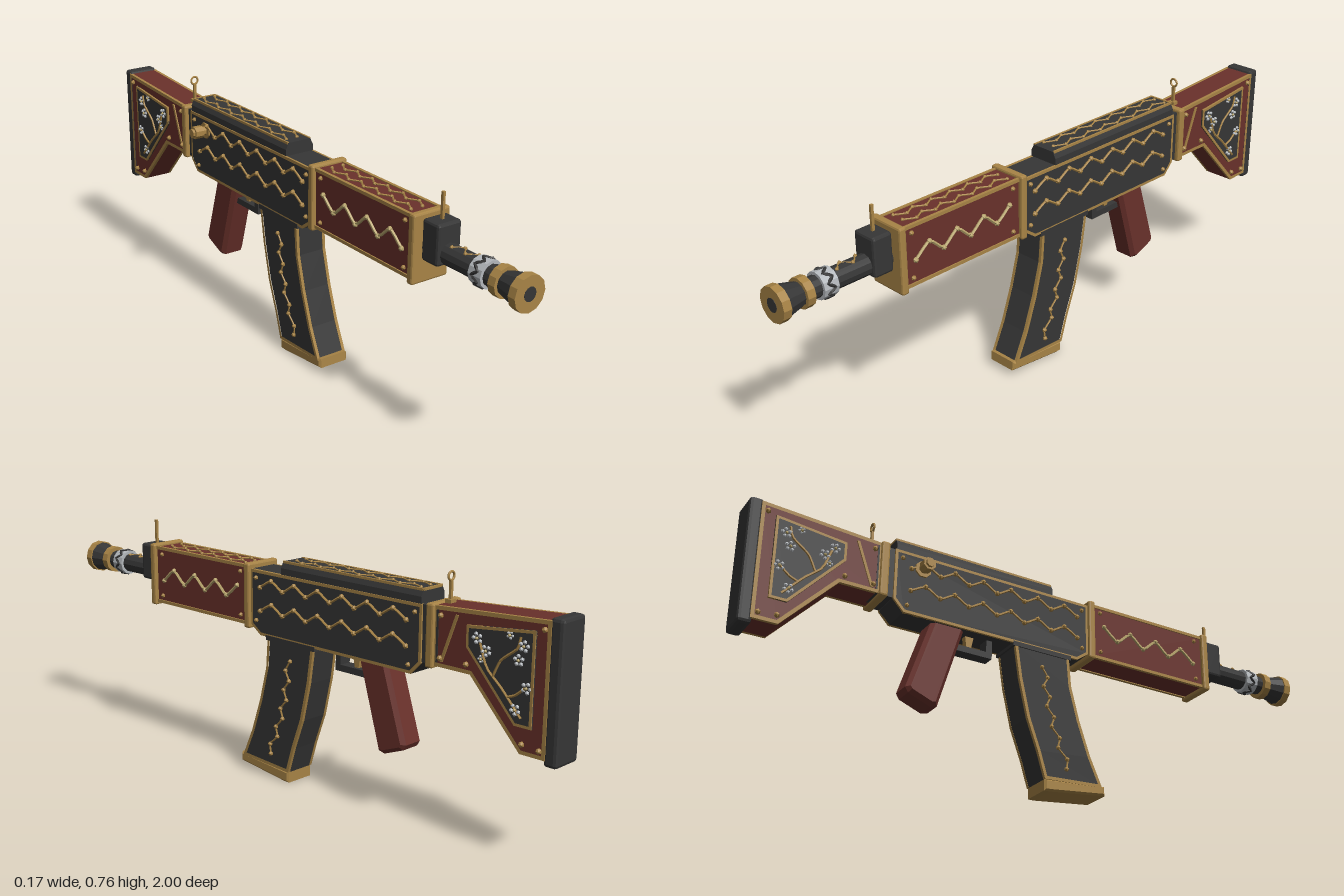
import * as THREE from 'three';
import { RoundedBoxGeometry } from 'three/addons/geometries/RoundedBoxGeometry.js';

const material = (name, color) => {
  const m = new THREE.MeshStandardMaterial({ color });
  m.name = name;
  return m;
};

export function createModel() {
  const model = new THREE.Group();
  model.name = 'ornateRifle';
  model.position.x = 0.016;
  const root = new THREE.Group();
  root.add(model);

  const brass = material('brass', 0xa88446);
  const steel = material('darkSteel', 0x363636);
  const wood = material('redWood', 0x6a312b);
  const silver = material('silver', 0xb4b8bc);
  const paleGold = material('paleGold', 0xb8a56c);

  // Faceted mesh with a name
  const add = (name, geo, mat, parent = model) => {
    const g = geo.index ? geo.toNonIndexed() : geo;
    g.computeVertexNormals();
    const m = new THREE.Mesh(g, mat);
    m.name = name;
    parent.add(m);
    return m;
  };
  const box = (name, mat, hw, y0, y1, z0, z1, x = 0) =>
    add(name, new THREE.BoxGeometry(hw * 2, y1 - y0, Math.abs(z1 - z0)), mat)
      .position.set(x, (y0 + y1) / 2, (z0 + z1) / 2);
  const softBox = (name, mat, hw, y0, y1, z0, z1, r) =>
    add(name, new RoundedBoxGeometry(hw * 2, y1 - y0, Math.abs(z1 - z0), 1, r), mat)
      .position.set(0, (y0 + y1) / 2, (z0 + z1) / 2);
  const rod = (name, mat, z0, z1, r0, r1 = r0, y = 0.582) =>
    add(name, new THREE.CylinderGeometry(r1, r0, Math.abs(z1 - z0), 12).rotateX(Math.PI / 2), mat)
      .position.set(0, y, (z0 + z1) / 2);

  // Side profile given as [z, y], extruded across x between -hw and hw
  const V = p => new THREE.Vector2(p[0], p[1]);
  const slab = (name, mat, pts, hw, bevel = 0, hole = null, x = 0) => {
    const shape = new THREE.Shape(pts.map(V));
    if (hole) shape.holes.push(new THREE.Path(hole.map(V)));
    const depth = 2 * (hw - bevel);
    const geo = new THREE.ExtrudeGeometry(shape, {
      depth, bevelEnabled: bevel > 0, bevelSize: bevel, bevelThickness: bevel, bevelOffset: -bevel, bevelSegments: 1,
    });
    geo.translate(0, 0, -depth / 2).rotateY(-Math.PI / 2);
    const m = add(name, geo, mat);
    m.position.x = x;
    return m;
  };
  // Mitred inset of a profile
  const inset = (pts, d) => {
    const area = pts.reduce((a, p, i) => {
      const q = pts[(i + 1) % pts.length];
      return a + p[0] * q[1] - q[0] * p[1];
    }, 0);
    const n = pts.length, s = Math.sign(area);
    return pts.map((p, i) => {
      const a = V(p).sub(V(pts[(i + n - 1) % n])).normalize();
      const b = V(pts[(i + 1) % n]).sub(V(p)).normalize();
      const na = [-a.y * s, a.x * s], nb = [-b.y * s, b.x * s];
      const k = d / (1 + na[0] * nb[0] + na[1] * nb[1]);
      return [p[0] + (na[0] + nb[0]) * k, p[1] + (na[1] + nb[1]) * k];
    });
  };
  const sideFrames = (name, pts, x, w) => {
    for (const s of [-1, 1]) slab(name, brass, pts, 0.005, 0, inset(pts, w), s * x);
  };
  const tube = (name, mat, pts, r, closed = false) => {
    const curve = new THREE.CatmullRomCurve3(pts.map(p => new THREE.Vector3(...p)), closed, 'catmullrom', 0.3);
    return add(name, new THREE.TubeGeometry(curve, pts.length * 3, r, 5, closed), mat);
  };
  const bead = (name, mat, x, y, z, r) =>
    add(name, new THREE.IcosahedronGeometry(r, 0), mat).position.set(x, y, z);
  // Vine with a bud beside every bend; points are [x, y, z]
  const vine = (name, mat, pts, r, bud) => {
    tube(name, mat, pts, r);
    pts.forEach(p => bead(name + 'Bud', mat, p[0], p[1], p[2], bud));
  };
  const zigzag = (n, f) => Array.from({ length: n }, (_, i) => f(i / (n - 1), i % 2 ? 1 : -1));

  // Muzzle and barrel
  rod('muzzleLip', brass, 0.975, 1, 0.053);
  rod('muzzleBore', steel, 0.995, 1.001, 0.021);
  rod('muzzleCone', steel, 0.915, 0.975, 0.034, 0.049);
  rod('muzzleRing', brass, 0.893, 0.918, 0.045);
  rod('barrel', steel, 0.62, 0.92, 0.032);
  rod('barrelBand', silver, 0.815, 0.862, 0.041);
  tube('bandZigzag', steel, Array.from({ length: 16 }, (_, i) => {
    const a = i / 16 * Math.PI * 2;
    return [0.04 * Math.cos(a), 0.582 + 0.04 * Math.sin(a), 0.838 + (i % 2 ? 0.01 : -0.01)];
  }), 0.005, true);
  vine('barrelVine', brass, zigzag(4, (t, s) => [s * 0.012, 0.612, 0.72 + t * 0.08]), 0.003, 0.006);

  // Front sight
  softBox('frontSightBlock', steel, 0.041, 0.55, 0.672, 0.632, 0.698, 0.008);
  box('frontSightPost', brass, 0.004, 0.67, 0.75, 0.66, 0.669);

  // Handguard with end flanges and corner rails
  box('handguard', wood, 0.05, 0.487, 0.672, 0.15, 0.61);
  for (const z of [0.613, 0.153]) softBox('handguardFlange', brass, 0.064, 0.475, 0.682, z - 0.012, z + 0.012, 0.006);
  for (const s of [-1, 1]) {
    for (const y of [0.489, 0.67]) {
      box('handguardRail', brass, 0.005, y - 0.005, y + 0.005, 0.16, 0.605, s * 0.049);
      for (const z of [0.575, 0.19]) bead('handguardRivet', brass, s * 0.052, y < 0.55 ? 0.51 : 0.65, z, 0.008);
    }
    vine('handguardVine', paleGold, zigzag(8, (t, k) => [s * 0.053, 0.583 + k * 0.02, 0.565 - t * 0.36]), 0.005, 0.009);
    vine('handguardTopVine', brass, zigzag(12, (t, k) => [s * 0.02 + k * 0.009, 0.674, 0.57 - t * 0.38]), 0.003, 0.006);
  }

  // Receiver
  const receiver = [[0.142, 0.665], [0.142, 0.49], [0.1, 0.46], [-0.51, 0.46], [-0.545, 0.497], [-0.545, 0.665]];
  slab('receiver', steel, receiver, 0.05, 0.004);
  sideFrames('receiverTrim', receiver, 0.048, 0.009);
  for (const s of [-1, 1]) {
    for (const y of [0.625, 0.55]) {
      vine('receiverVine', brass, zigzag(13, (t, k) => [s * 0.053, y + k * 0.013, 0.1 - t * 0.59]), 0.004, 0.009);
    }
    for (const [z, y] of [[0.118, 0.64], [0.118, 0.505], [-0.52, 0.64], [-0.5, 0.485]]) {
      bead('receiverRivet', brass, s * 0.053, y, z, 0.008);
    }
  }

  // Top cover with chamfered section
  const cover = new THREE.Shape([[-0.05, 0.66], [0.05, 0.66], [0.05, 0.685], [0.04, 0.705], [-0.04, 0.705], [-0.05, 0.685]].map(V));
  add('topCover', new THREE.ExtrudeGeometry(cover, { depth: 0.55, bevelEnabled: false }), steel).position.z = -0.54;
  for (const s of [-1, 1]) {
    box('topCoverTrim', brass, 0.003, 0.7, 0.707, 0.008, -0.54, s * 0.04);
    vine('topCoverVine', brass, zigzag(14, (t, k) => [s * 0.02 + k * 0.008, 0.706, -0.02 - t * 0.5]), 0.003, 0.006);
  }
  box('topCoverRearTrim', brass, 0.04, 0.7, 0.707, -0.534, -0.541);

  // Charging handle on the right
  const handle = (r, x0, x1, name) => add(name, new THREE.CylinderGeometry(r, r, x1 - x0, 8)
    .rotateY(Math.PI / 8).rotateZ(Math.PI / 2), brass).position.set((x0 + x1) / 2, 0.62, -0.452);
  handle(0.015, -0.075, -0.045, 'chargingHandleShaft');
  handle(0.021, -0.098, -0.068, 'chargingHandleKnob');
  handle(0.014, -0.106, -0.098, 'chargingHandleCap');
  handle(0.027, -0.056, -0.048, 'chargingHandleCollar');

  // Trigger and guard
  box('triggerGuardFront', steel, 0.02, 0.4, 0.465, -0.192, -0.212);
  box('triggerGuardBottom', steel, 0.02, 0.4, 0.42, -0.192, -0.32);
  slab('trigger', brass, [[-0.245, 0.49], [-0.285, 0.49], [-0.275, 0.42], [-0.26, 0.42]], 0.01);

  // Pistol grip
  slab('pistolGrip', wood, [[-0.296, 0.47], [-0.315, 0.488], [-0.385, 0.49], [-0.405, 0.475], [-0.482, 0.235],
    [-0.472, 0.218], [-0.4, 0.19], [-0.378, 0.195]], 0.042, 0.012);

  // Curved magazine
  const front = [[0.067, 0.465], [0.075, 0.36], [0.104, 0.25], [0.142, 0.14], [0.185, 0.045]];
  const back = [[-0.02, 0.035], [-0.046, 0.12], [-0.083, 0.22], [-0.112, 0.345], [-0.13, 0.465]];
  const magazine = [...front, ...back];
  slab('magazine', steel, magazine, 0.05, 0.008);
  sideFrames('magazineTrim', magazine, 0.048, 0.01);
  slab('magazineCollar', steel, [[0.075, 0.465], [0.075, 0.45], [-0.135, 0.45], [-0.135, 0.465]], 0.054);
  slab('magazineBase', brass, [[0.197, 0.022], [0.195, 0.052], [-0.02, 0.037], [-0.02, 0], [0, 0]], 0.053, 0.006);
  for (const s of [-1, 1]) {
    vine('magazineVine', brass, zigzag(11, (t, k) =>
      [s * 0.053, 0.4 - t * 0.32, -0.022 + 0.075 * t * t + 0.012 * t + k * 0.009]), 0.003, 0.008);
  }

  // Rear flange and stock
  softBox('rearFlange', brass, 0.062, 0.492, 0.675, -0.565, -0.592, 0.006);
  box('stockNeck', steel, 0.048, 0.5, 0.665, -0.54, -0.6);
  const stock = [[-0.585, 0.67], [-0.585, 0.5], [-0.715, 0.5], [-0.885, 0.318], [-0.965, 0.318], [-0.965, 0.692]];
  slab('stock', wood, stock, 0.047, 0.005);
  sideFrames('stockTrim', stock, 0.047, 0.011);
  softBox('buttPad', steel, 0.051, 0.3, 0.7, -0.958, -1, 0.01);
  const panel = [[-0.7, 0.635], [-0.7, 0.575], [-0.865, 0.392], [-0.92, 0.392], [-0.92, 0.658]];
  sideFrames('stockPanelTrim', panel, 0.049, 0.008);
  for (const s of [-1, 1]) {
    slab('stockPanel', steel, panel, 0.004, 0, null, s * 0.047);
    slab('stockStrap', brass, [[-0.66, 0.655], [-0.669, 0.655], [-0.618, 0.515], [-0.609, 0.515]], 0.004, 0, null, s * 0.047);
    for (const [z, y] of [[-0.61, 0.645], [-0.61, 0.525], [-0.7, 0.525], [-0.945, 0.665], [-0.945, 0.34], [-0.89, 0.345]]) {
      bead('stockRivet', brass, s * 0.051, y, z, 0.009);
    }
    // Blossom branches
    const branches = [
      [[-0.885, 0.415], [-0.82, 0.485], [-0.77, 0.53], [-0.745, 0.595]],
      [[-0.79, 0.51], [-0.815, 0.56], [-0.865, 0.6], [-0.875, 0.635]],
      [[-0.84, 0.465], [-0.865, 0.475], [-0.895, 0.5]],
    ];
    for (const b of branches) tube('blossomBranch', brass, b.map(([z, y]) => [s * 0.052, y, z]), 0.004);
    const blossoms = [[-0.735, 0.605], [-0.765, 0.575], [-0.84, 0.632], [-0.885, 0.61], [-0.87, 0.57], [-0.75, 0.55], [-0.865, 0.435], [-0.898, 0.5]];
    blossoms.forEach(([z, y], i) => {
      const r = i % 3 === 2 ? 0.008 : 0.012;
      for (let k = 0; k < 5; k++) {
        const a = k * Math.PI * 0.4 + i;
        bead('blossomPetal', silver, s * 0.051, y + r * Math.sin(a), z + r * Math.cos(a), r * 0.55);
      }
      bead('blossomHeart', paleGold, s * 0.054, y, z, 0.005);
    });
  }

  // Rear ring sight
  box('rearSightBase', brass, 0.012, 0.668, 0.682, -0.592, -0.612);
  box('rearSightPost', brass, 0.0045, 0.68, 0.734, -0.598, -0.606);
  add('rearSightRing', new THREE.TorusGeometry(0.0125, 0.0035, 6, 16), brass).position.set(0, 0.746, -0.602);

  return root;
}
